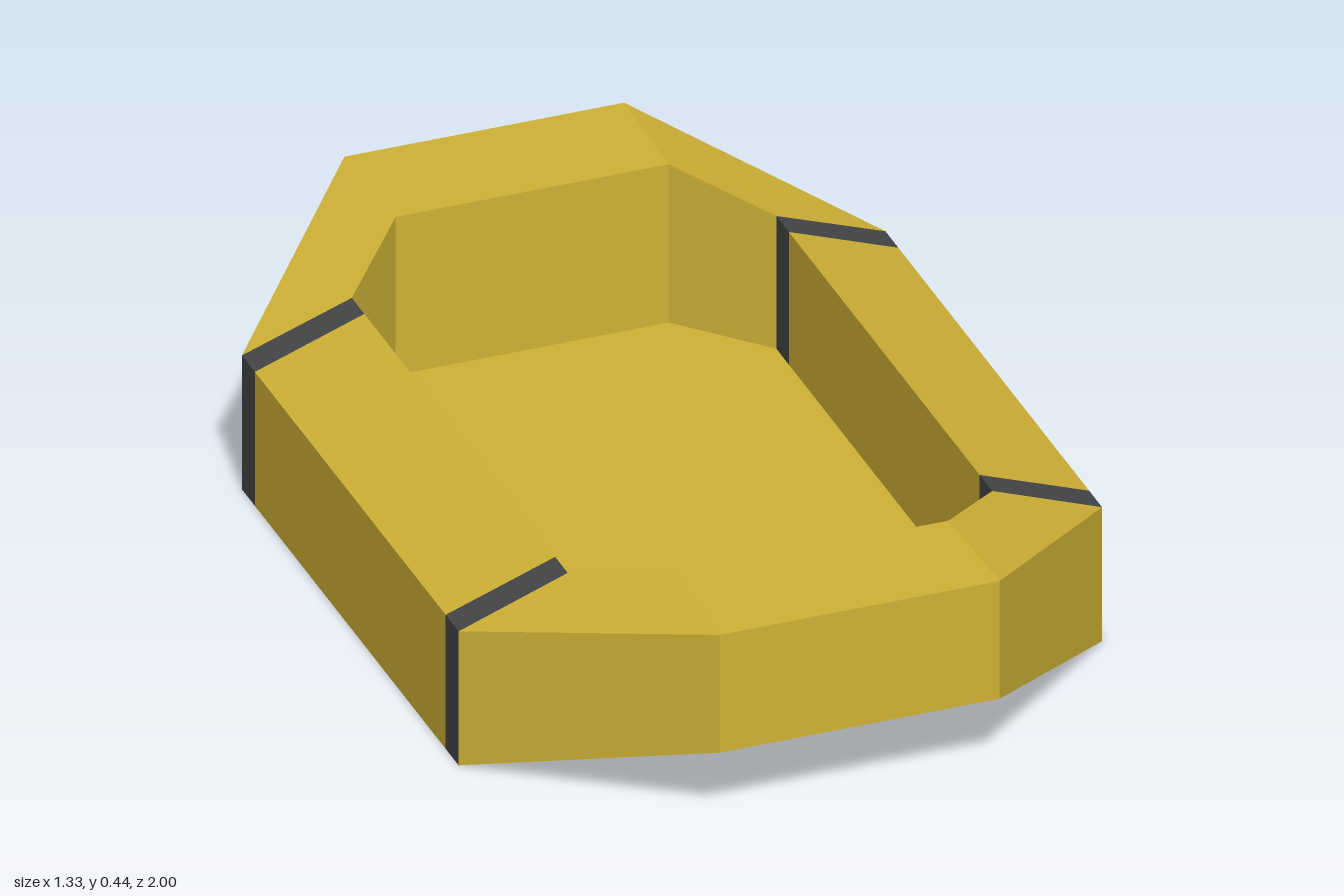
import * as THREE from 'three';

const gold = new THREE.MeshStandardMaterial({ color: 0xd0b236 });
gold.name = 'gold';
const charcoal = new THREE.MeshStandardMaterial({ color: 0x444546 });
charcoal.name = 'charcoal';

const FLOOR = 0.085;

// One station of the rim: bottom outer, top outer, top inner and floor points
const station = (ox, oz, bottom, top, ix, iz, innerTop) => [
  [ox, bottom, oz], [ox, top, oz], [ix, innerTop, iz], [ix, FLOOR, iz],
];

function mesh(name, quads, material) {
  const pos = quads.flatMap(([a, b, c, d]) => [a, b, c, a, c, d]).flat();
  const geo = new THREE.BufferGeometry();
  geo.setAttribute('position', new THREE.Float32BufferAttribute(pos, 3));
  geo.computeVertexNormals();
  const m = new THREE.Mesh(geo, material);
  m.name = name;
  return m;
}

export function createModel() {
  const group = new THREE.Group();
  group.name = 'openTub';

  // Front stations, then their mirror images at the back and on the other side
  const front = [
    station(0.29, 1, 0.175, 0.437, 0.283, 0.745, 0.437),
    station(0.667, 0.577, 0, 0.298, 0.44, 0.575, 0.38),
    station(0.667, 0.508, 0, 0.298, 0.44, 0.508, 0.38),
  ];
  const mirror = (s, sx, sz) => s.map(([x, y, z]) => [x * sx, y, z * sz]);
  const side = [...front, ...front.map((s) => mirror(s, 1, -1)).reverse()];
  const ring = [...side, ...side.map((s) => mirror(s, -1, 1)).reverse()];

  // Walls and rim, with a band wherever a side segment is a short one
  const rim = [], bands = [], hull = [], floor = [];
  const isBand = (i) => i % 6 === 1 || i % 6 === 3;
  ring.forEach((p, i) => {
    const q = ring[(i + 1) % ring.length];
    for (let k = 0; k < 3; k++) {
      (isBand(i) ? bands : rim).push([p[k], q[k], q[k + 1], p[k + 1]]);
    }
  });

  // Underside and inner floor, strip by strip from front to back
  for (let i = 0; i < 5; i++) {
    const [r0, r1, l1, l0] = [ring[i], ring[i + 1], ring[10 - i], ring[11 - i]];
    (isBand(i) ? bands : hull).push([l0[0], l1[0], r1[0], r0[0]]);
    floor.push([r0[3], r1[3], l1[3], l0[3]]);
  }

  group.add(
    mesh('wallsAndRim', rim, gold),
    mesh('underside', hull, gold),
    mesh('innerFloor', floor, gold),
    mesh('bands', bands, charcoal),
  );
  return group;
}
